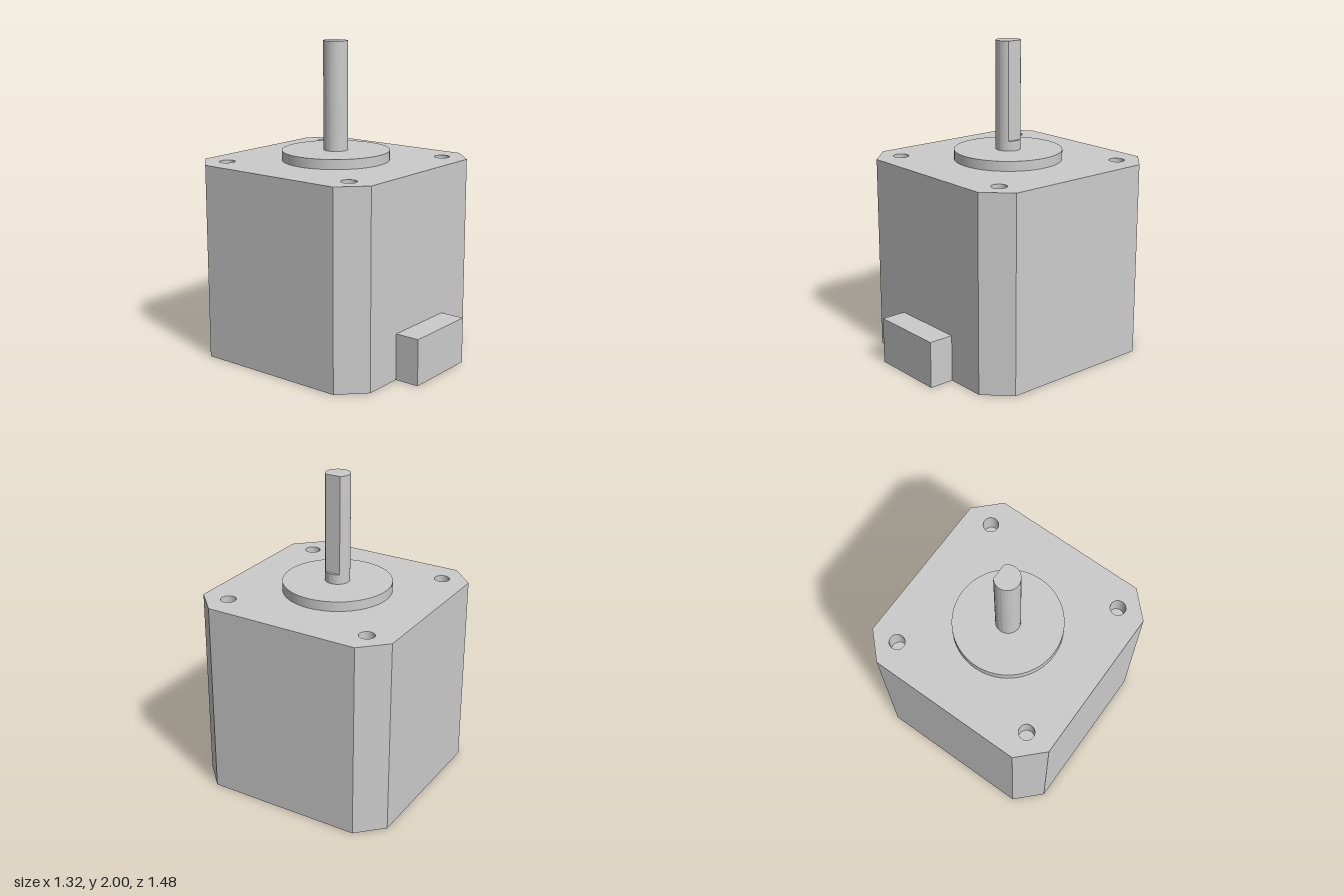
import * as THREE from 'three';
import { toCreasedNormals } from 'three/addons/utils/BufferGeometryUtils.js';

const HALF = 0.66;      // half width of the square body
const CHAMFER = 0.155;  // corner cut
const HEIGHT = 1.25;
const HOLE_DEPTH = 0.14;

// Octagonal outline of the motor body
function bodyOutline() {
  const a = HALF, b = HALF - CHAMFER;
  return new THREE.Shape([
    [a, -b], [a, b], [b, a], [-b, a], [-a, b], [-a, -b], [-b, -a], [b, -a],
  ].map(([x, y]) => new THREE.Vector2(x, y)));
}

function disc(radius) {
  return new THREE.Shape().absarc(0, 0, radius, 0, Math.PI * 2);
}

// Extrude a plan shape upwards from y0 to y1
function prism(name, shape, y0, y1, material) {
  const geometry = new THREE.ExtrudeGeometry(shape, {
    depth: y1 - y0, bevelEnabled: false, curveSegments: 32,
  });
  geometry.rotateX(-Math.PI / 2);
  geometry.translate(0, y0, 0);
  const mesh = new THREE.Mesh(toCreasedNormals(geometry, 0.5), material);
  mesh.name = name;
  return mesh;
}

export function createModel() {
  const metal = new THREE.MeshStandardMaterial({ color: 0xcccccc });
  metal.name = 'light grey';

  const model = new THREE.Group();
  model.name = 'stepperMotor';
  const motor = new THREE.Group();
  motor.name = 'motor';
  motor.position.z = -0.08;
  model.add(motor);

  // Body, with four blind screw holes in its top section
  const topShape = bodyOutline();
  for (const sx of [-1, 1]) {
    for (const sz of [-1, 1]) {
      topShape.holes.push(new THREE.Path().absarc(sx * 0.485, sz * 0.485, 0.049, 0, Math.PI * 2, true));
    }
  }
  const seam = HEIGHT - HOLE_DEPTH;
  motor.add(prism('body', bodyOutline(), 0, seam, metal));
  motor.add(prism('mountingFace', topShape, seam, HEIGHT, metal));

  // Raised centring boss
  motor.add(prism('boss', disc(0.343), HEIGHT, 1.312, metal));

  // Shaft: round at the base, D-shaped above with the flat facing +x
  const radius = 0.078;
  const flat = Math.acos(0.06 / radius);
  const dShape = new THREE.Shape().absarc(0, 0, radius, flat, Math.PI * 2 - flat);
  dShape.closePath();
  motor.add(prism('shaftBase', disc(radius), 1.312, 1.375, metal));
  motor.add(prism('shaft', dShape, 1.375, 2, metal));

  // Cable connector on the front
  const connector = new THREE.Mesh(new THREE.BoxGeometry(0.495, 0.295, 0.16), metal);
  connector.name = 'connector';
  connector.position.set(0, 0.1475, 0.66);
  model.add(connector);

  return model;
}
